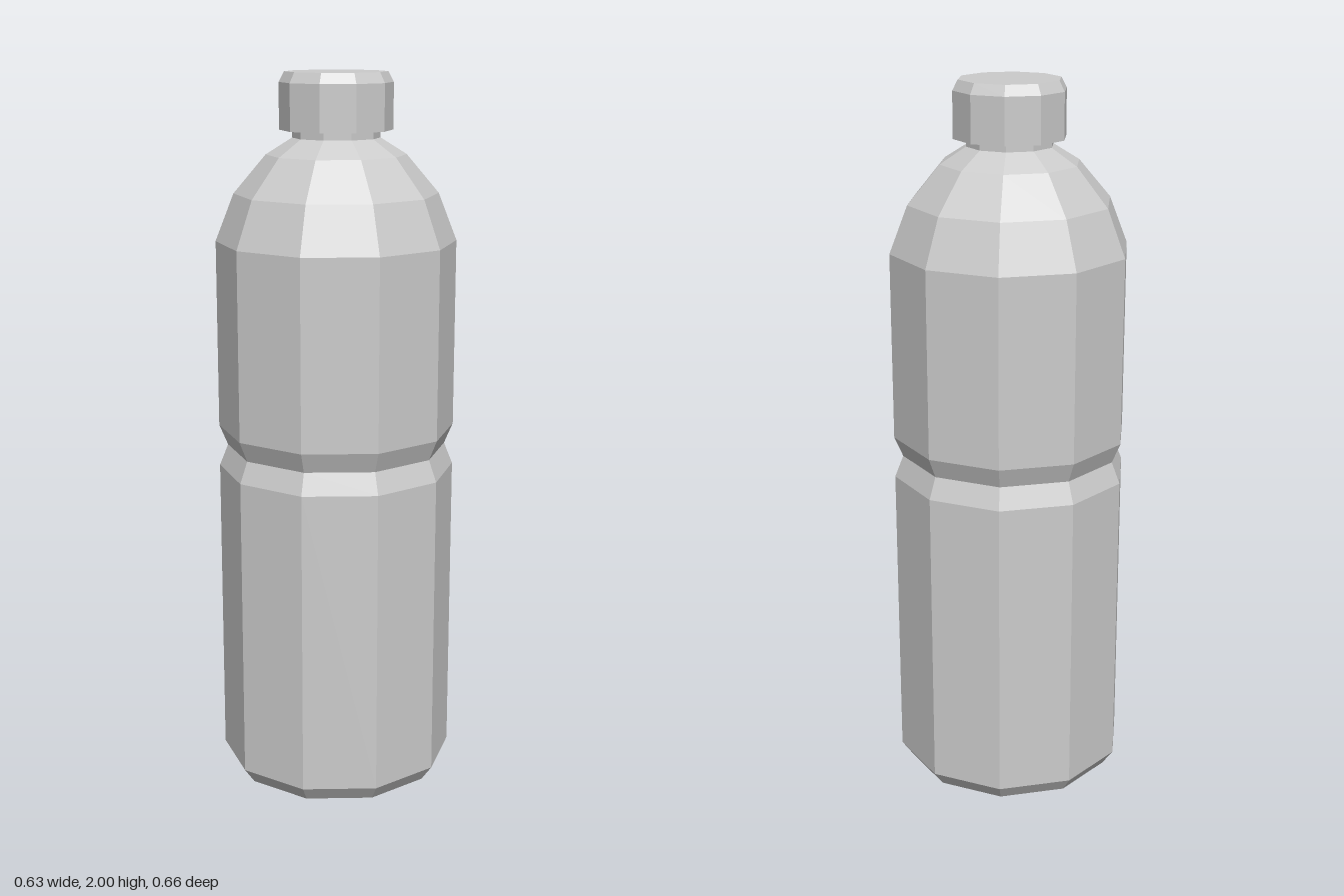
import * as THREE from 'three';

const SIDES = 10;

// Ten-sided turned part from [radius, height] pairs, listed bottom to top
function turned(name, profile) {
  const points = profile.map(([r, y]) => new THREE.Vector2(r, y));
  const material = new THREE.MeshStandardMaterial({ color: 0xcccccc, flatShading: true });
  const mesh = new THREE.Mesh(new THREE.LatheGeometry(points, SIDES), material);
  mesh.name = name;
  return mesh;
}

export function createModel() {
  const bottle = new THREE.Group();
  bottle.name = 'bottle';

  // Body: chamfered base, waist groove, domed shoulder and short neck
  bottle.add(turned('body', [
    [0, 0], [0.3, 0], [0.332, 0.045],
    [0.332, 0.905], [0.308, 0.965], [0.332, 1.022],
    [0.332, 1.545], [0.281, 1.675], [0.192, 1.78], [0.12, 1.825],
    [0.12, 1.86],
  ]));

  // Cap with a bevelled top edge
  bottle.add(turned('cap', [
    [0, 1.846], [0.155, 1.846], [0.155, 1.972], [0.14, 2], [0, 2],
  ]));

  return bottle;
}
